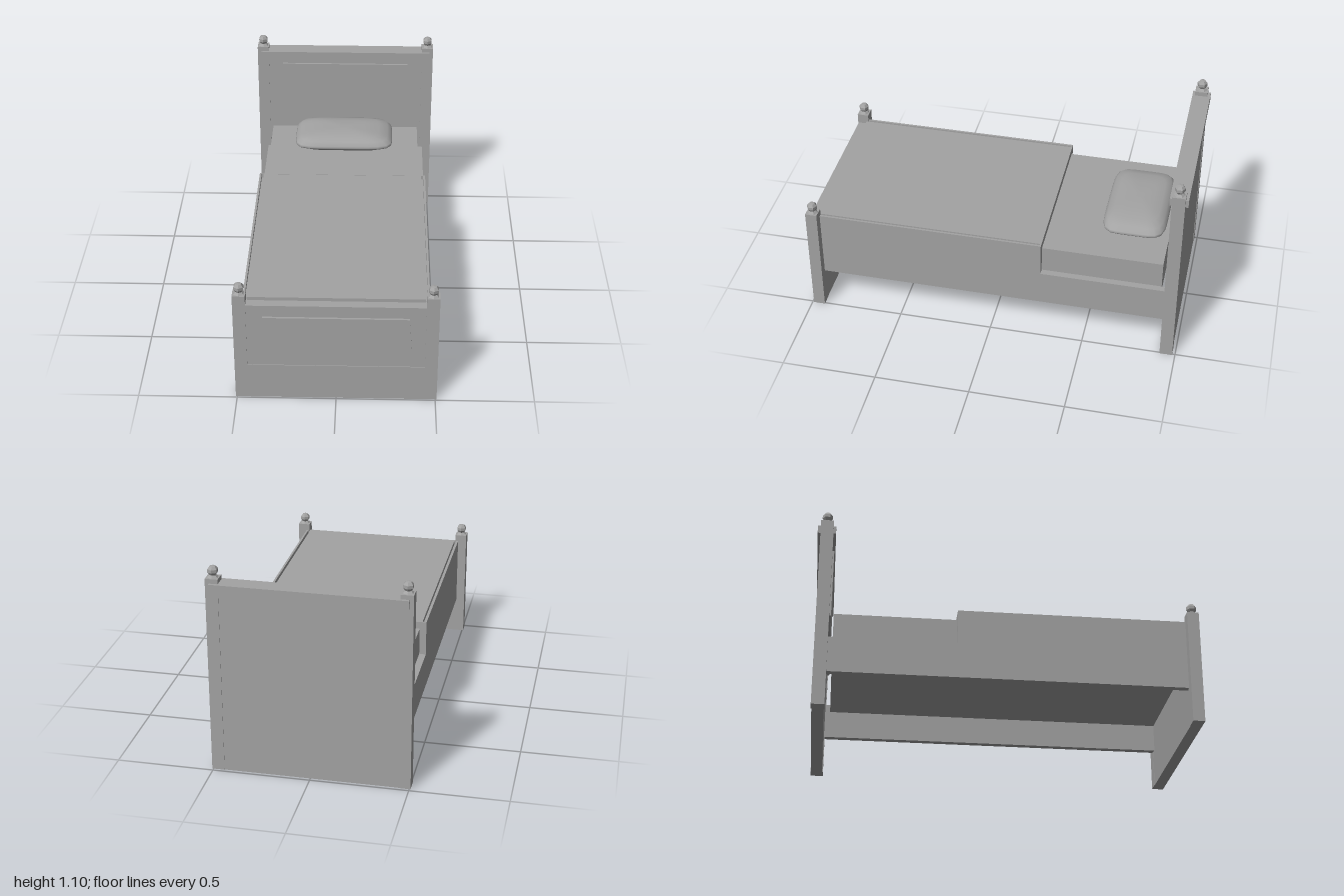
import * as THREE from 'three';
import { mergeVertices } from 'three/addons/utils/BufferGeometryUtils.js';

export function createModel() {
  const bed = new THREE.Group();
  bed.name = 'bed';
  const grey = new THREE.MeshStandardMaterial({ color: 0xa3a3a3 });
  grey.name = 'grey';

  const add = (name, geometry) => {
    const mesh = new THREE.Mesh(geometry, grey);
    mesh.name = name;
    bed.add(mesh);
    return mesh;
  };
  // Box given by its extents on each axis
  const box = (name, x0, x1, y0, y1, z0, z1) => {
    const mesh = add(name, new THREE.BoxGeometry(x1 - x0, y1 - y0, z1 - z0));
    mesh.position.set((x0 + x1) / 2, (y0 + y1) / 2, (z0 + z1) / 2);
    return mesh;
  };
  // Raised trapezoid panel, wider at the bottom
  const panel = (name, top, bottom, y0, y1, z0, z1) => {
    const shape = new THREE.Shape([
      new THREE.Vector2(-bottom, y0), new THREE.Vector2(bottom, y0),
      new THREE.Vector2(top, y1), new THREE.Vector2(-top, y1),
    ]);
    const mesh = add(name, new THREE.ExtrudeGeometry(shape, { depth: z1 - z0, bevelEnabled: false }));
    mesh.position.z = z0;
  };

  // Faceted knob on top of each post
  const knobProfile = [
    [0.029, 0], [0.017, 0.012], [0.027, 0.026], [0.027, 0.042], [0.016, 0.056], [0, 0.058],
  ].map(([r, y]) => new THREE.Vector2(r, y));
  const knob = new THREE.LatheGeometry(knobProfile, 6).toNonIndexed();
  knob.computeVertexNormals();

  // Corner posts with knobs
  const post = (name, side, height, z0, z1) => {
    const a = side * 0.443, b = side * 0.507;
    box(name + 'Post', Math.min(a, b), Math.max(a, b), 0, height, z0, z1);
    add(name + 'Knob', knob).position.set(side * 0.475, height, (z0 + z1) / 2);
  };
  for (const side of [-1, 1]) {
    const label = side > 0 ? 'left' : 'right';
    post(label + 'Head', side, 1.038, -0.985, -0.918);
    post(label + 'Foot', side, 0.612, 0.93, 0.992);

    // Side rails and the hanging blanket edges flush above them
    const span = (inner, outer) => (side > 0 ? [inner, outer] : [-outer, -inner]);
    box(label + 'SideRail', ...span(0.425, 0.46), 0.2, 0.392, -0.918, 0.935);
    box(label + 'BlanketEdge', ...span(0.449, 0.46), 0.392, 0.576, -0.262, 0.935);
  }

  // Headboard with its cap rail and panel
  box('headboard', -0.443, 0.443, 0, 0.98, -0.982, -0.922);
  box('headboardCap', -0.487, 0.487, 0.972, 1.015, -1, -0.905);
  panel('headboardPanel', 0.362, 0.377, 0.55, 0.938, -0.923, -0.91);

  // Footboard, flush with the posts near the floor
  box('footboard', -0.443, 0.443, 0.2, 0.557, 0.935, 0.988);
  box('footboardBase', -0.443, 0.443, 0, 0.2, 0.932, 0.992);
  panel('footboardPanel', 0.361, 0.377, 0.288, 0.493, 0.985, 1);

  // Mattress
  box('mattress', -0.425, 0.425, 0.35, 0.538, -0.895, 0.935);

  // Blanket: lower layer, top slab inside a narrow groove, folded head edge
  box('blanketLayer', -0.449, 0.449, 0.392, 0.552, -0.255, 0.94);
  box('blanketTop', -0.438, 0.438, 0.552, 0.575, -0.255, 0.94);
  box('blanketFold', -0.449, 0.449, 0.392, 0.576, -0.262, -0.255);

  // Pillow: a lathe squared off into a rounded rectangle
  const pillowProfile = [
    [0, 0.537], [0.6, 0.539], [0.82, 0.556], [0.98, 0.576], [1, 0.584],
    [0.985, 0.594], [0.9, 0.616], [0.72, 0.629], [0.45, 0.638], [0, 0.641],
  ].map(([r, y]) => new THREE.Vector2(r, y));
  const pillow = new THREE.LatheGeometry(pillowProfile, 40);
  const p = pillow.attributes.position;
  for (let i = 0; i < p.count; i++) {
    const x = p.getX(i), z = p.getZ(i), r = Math.hypot(x, z);
    if (r < 1e-6) continue;
    const k = 1 / Math.pow(Math.abs(x / r) ** 6 + Math.abs(z / r) ** 6, 1 / 6);
    p.setX(i, x * k * 0.278);
    p.setZ(i, z * k * 0.167);
  }
  pillow.deleteAttribute('normal');
  pillow.deleteAttribute('uv');
  const smoothPillow = mergeVertices(pillow, 1e-4);
  smoothPillow.computeVertexNormals();
  add('pillow', smoothPillow).position.z = -0.708;

  return bed;
}
